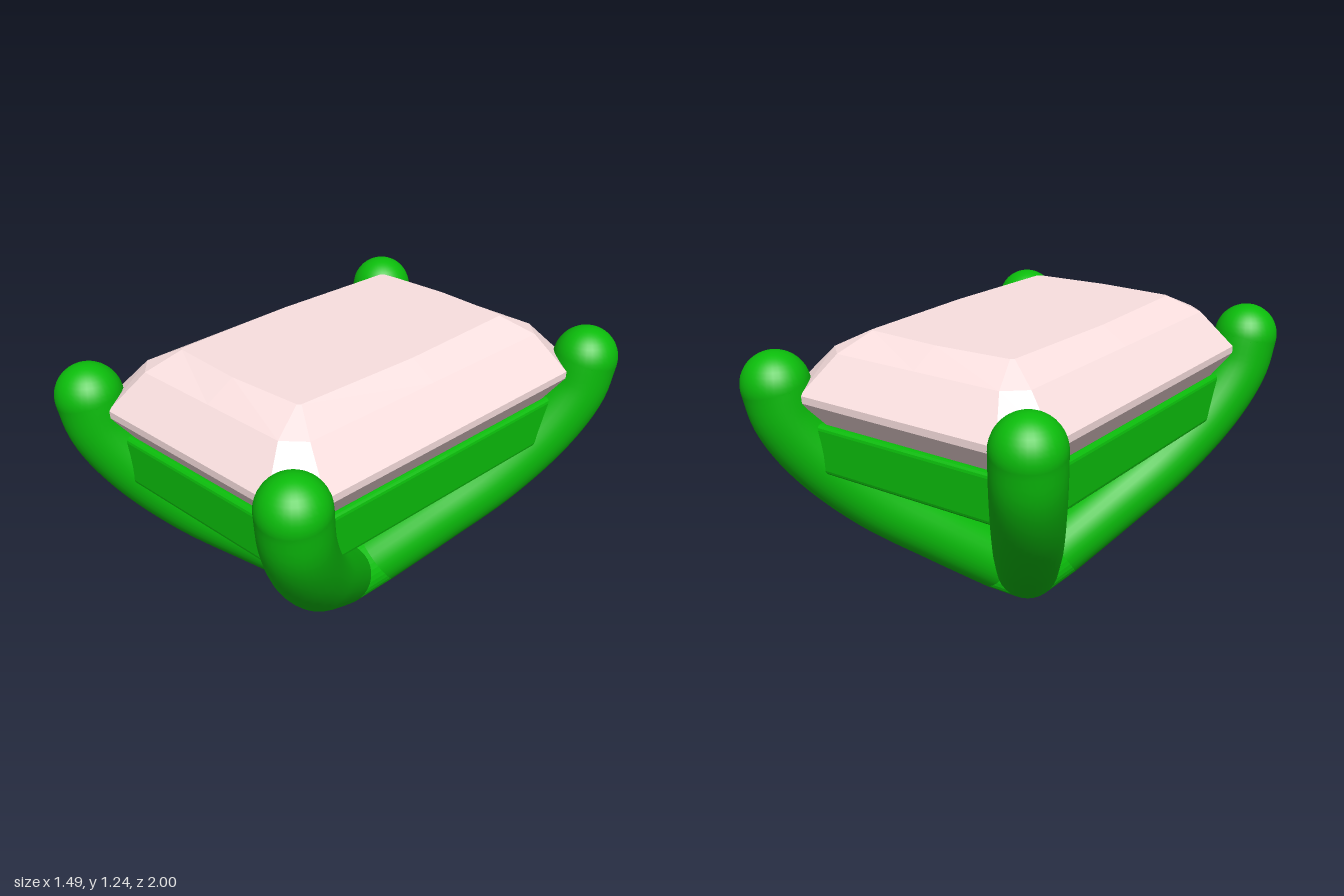
import * as THREE from 'three';
import { ConvexGeometry } from 'three/addons/geometries/ConvexGeometry.js';

const metal = new THREE.MeshStandardMaterial({ color: 0x0bbd0b });
const stone = new THREE.MeshStandardMaterial({ color: 0xfae0e0, flatShading: true });

function part(parent, name, geometry, material) {
  const mesh = new THREE.Mesh(geometry, material);
  mesh.name = name;
  parent.add(mesh);
  return mesh;
}

// Rectangle with cut corners; each long edge has a midpoint pushed out by bulge
function cutRect(hx, hz, cx, cz, bulge = 0) {
  const half = [
    [hx + bulge, 0], [hx, hz - cz], [hx - cx, hz],
    [0, hz + bulge], [cx - hx, hz], [-hx, hz - cz],
  ];
  return [...half, ...half.map(([x, z]) => [-x, -z])];
}

// Step-cut stone lofted through faceted rings from table to point
function gemGeometry() {
  const levels = [
    [1.25, 0.345, 0.585, 0.012, 0.012, 0.02],
    [1.18, 0.475, 0.73, 0.085, 0.075, 0],
    [1.03, 0.613, 0.865, 0.14, 0.15, 0],
    [1.0, 0.613, 0.865, 0.14, 0.15, 0],
    [0.9, 0.545, 0.79, 0.13, 0.14, 0],
    [0.7, 0.355, 0.575, 0.13, 0.16, 0.015],
    [0.437, 0.001, 0.001, 0.0004, 0.0004, 0],
  ];
  const rings = levels.map(([y, ...r]) => cutRect(...r).map(([x, z]) => [x, y, z]));
  const v = [];
  const n = rings[0].length;
  for (let i = 0; i < n; i++) {
    const j = (i + 1) % n;
    v.push(0, 1.25, 0, ...rings[0][j], ...rings[0][i]);
    for (let k = 0; k < rings.length - 1; k++) {
      const a = rings[k], b = rings[k + 1];
      v.push(...a[i], ...a[j], ...b[i], ...a[j], ...b[j], ...b[i]);
    }
  }
  const g = new THREE.BufferGeometry();
  g.setAttribute('position', new THREE.Float32BufferAttribute(v, 3));
  g.computeVertexNormals();
  return g;
}

// Rectangular gallery rail running between the prongs
function railGeometry() {
  const points = (hx, hz, c) => cutRect(hx, hz, c, c).map(([x, z]) => new THREE.Vector2(x, z));
  const shape = new THREE.Shape(points(0.55, 0.8, 0.07));
  shape.holes.push(new THREE.Path(points(0.44, 0.69, 0.02)));
  const g = new THREE.ExtrudeGeometry(shape, {
    depth: 0.165, bevelEnabled: true, bevelThickness: 0.02, bevelSize: 0.02, bevelSegments: 3,
  });
  return g.rotateX(-Math.PI / 2).translate(0, 0.715, 0);
}

export function createModel() {
  const model = new THREE.Group();
  model.name = 'gemSetting';
  const R = 0.139;

  part(model, 'gemstone', gemGeometry(), stone);
  part(model, 'galleryRail', railGeometry(), metal);

  // Prong centre line: distance from the axis, height
  const profile = [[0.14, 0.124], [0.4, 0.305], [0.68, 0.51], [0.9, 0.73], [1.015, 0.91], [1.05, 1.05]];
  const ux = 0.606 / 1.05, uz = 0.861 / 1.05;
  const rims = [];
  for (const sx of [1, -1]) {
    for (const sz of [1, -1]) {
      const prong = new THREE.Group();
      prong.name = (sz > 0 ? 'front' : 'back') + (sx > 0 ? 'Left' : 'Right') + 'Prong';
      const path = new THREE.CatmullRomCurve3(
        profile.map(([d, y]) => new THREE.Vector3(sx * ux * d, y, sz * uz * d)));
      const arm = new THREE.TubeGeometry(path, 40, R, 32);
      part(prong, 'prongArm', arm, metal);
      part(prong, 'prongTip', new THREE.SphereGeometry(R, 32, 20), metal).position.copy(path.getPoint(1));
      model.add(prong);
      // the first ring of the arm is its lower rim
      for (let i = 0; i < 32; i++) {
        rims.push(new THREE.Vector3().fromBufferAttribute(arm.attributes.position, i));
      }
    }
  }

  // Solid joint spanning the lower rims of the four prongs
  part(model, 'baseJoint', new ConvexGeometry(rims), metal);
  return model;
}
